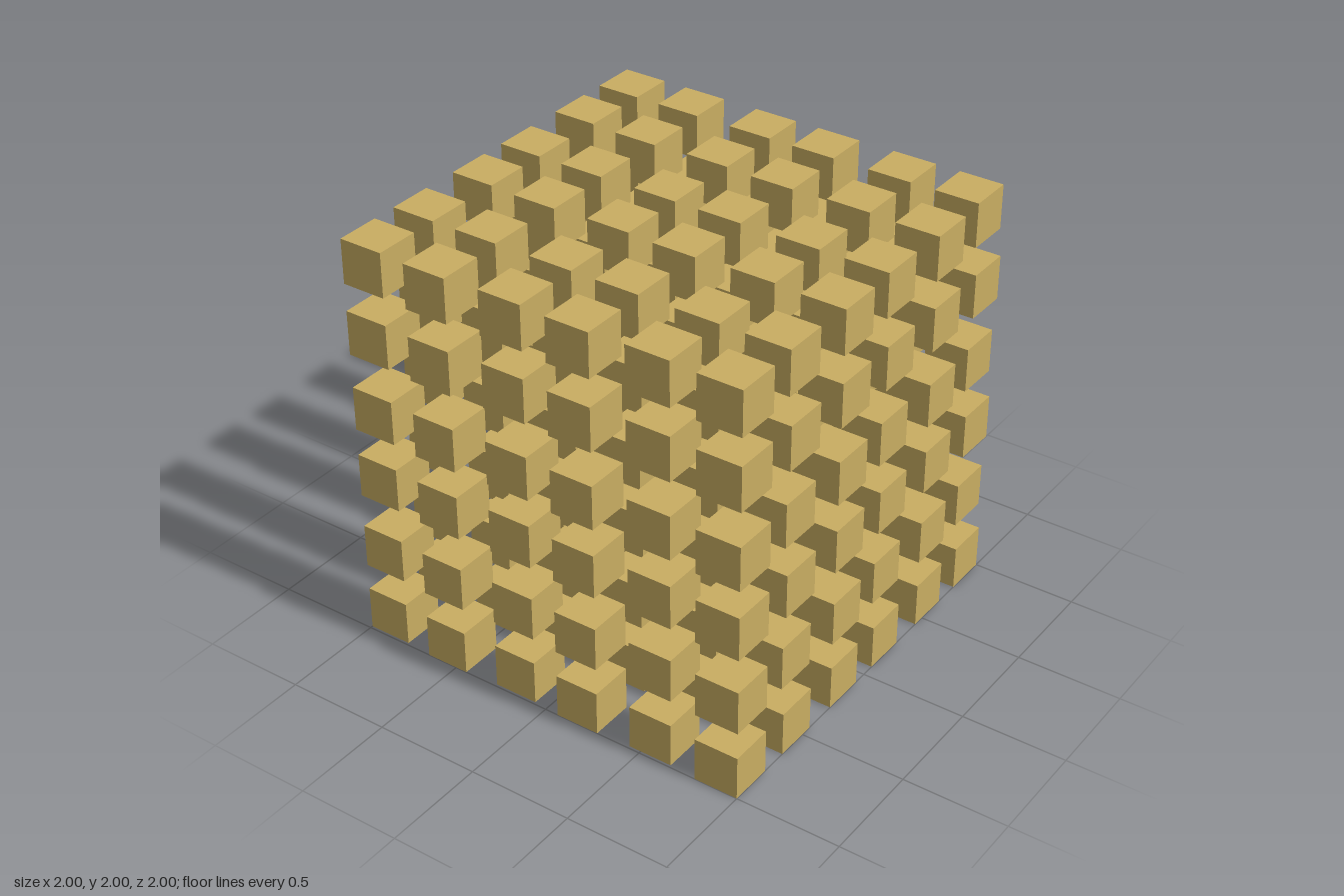
import * as THREE from 'three';

const SIZE = 0.213;   // cube edge
const PAIR = 0.721;   // distance between pairs of cubes
const HALF = 0.172;   // half the pitch inside a pair
const SHIFT = 0.012;  // small offset of some cubes

// Centre of the n-th cube along an axis: three pairs, slightly closer inside each pair
const place = (n) => (Math.floor(n / 2) - 1) * PAIR + (n % 2 ? HALF : -HALF);

export function createModel() {
  const model = new THREE.Group();
  model.name = 'cubeLattice';
  const ochre = new THREE.MeshStandardMaterial({ color: 0xc9ad62 });
  ochre.name = 'ochre';
  const cube = new THREE.BoxGeometry(SIZE, SIZE, SIZE);

  for (let j = 0; j < 6; j++) {
    // One horizontal layer of 6 x 6 cubes
    const layer = new THREE.Group();
    layer.name = `layer${j + 1}`;
    layer.position.y = 1 + place(j);
    for (let i = 0; i < 6; i++) {
      for (let k = 0; k < 6; k++) {
        const mesh = new THREE.Mesh(cube, ochre);
        mesh.name = 'cube';
        // Cubes at one corner of each 2 x 2 x 2 cluster sit a little off the grid
        const dx = i % 2 === 0 && k % 2 === 0 ? SHIFT : 0;
        const dz = i % 2 && j % 2 && k % 2 ? -SHIFT : 0;
        mesh.position.set(place(i) + dx, 0, place(k) + dz);
        layer.add(mesh);
      }
    }
    model.add(layer);
  }
  return model;
}
